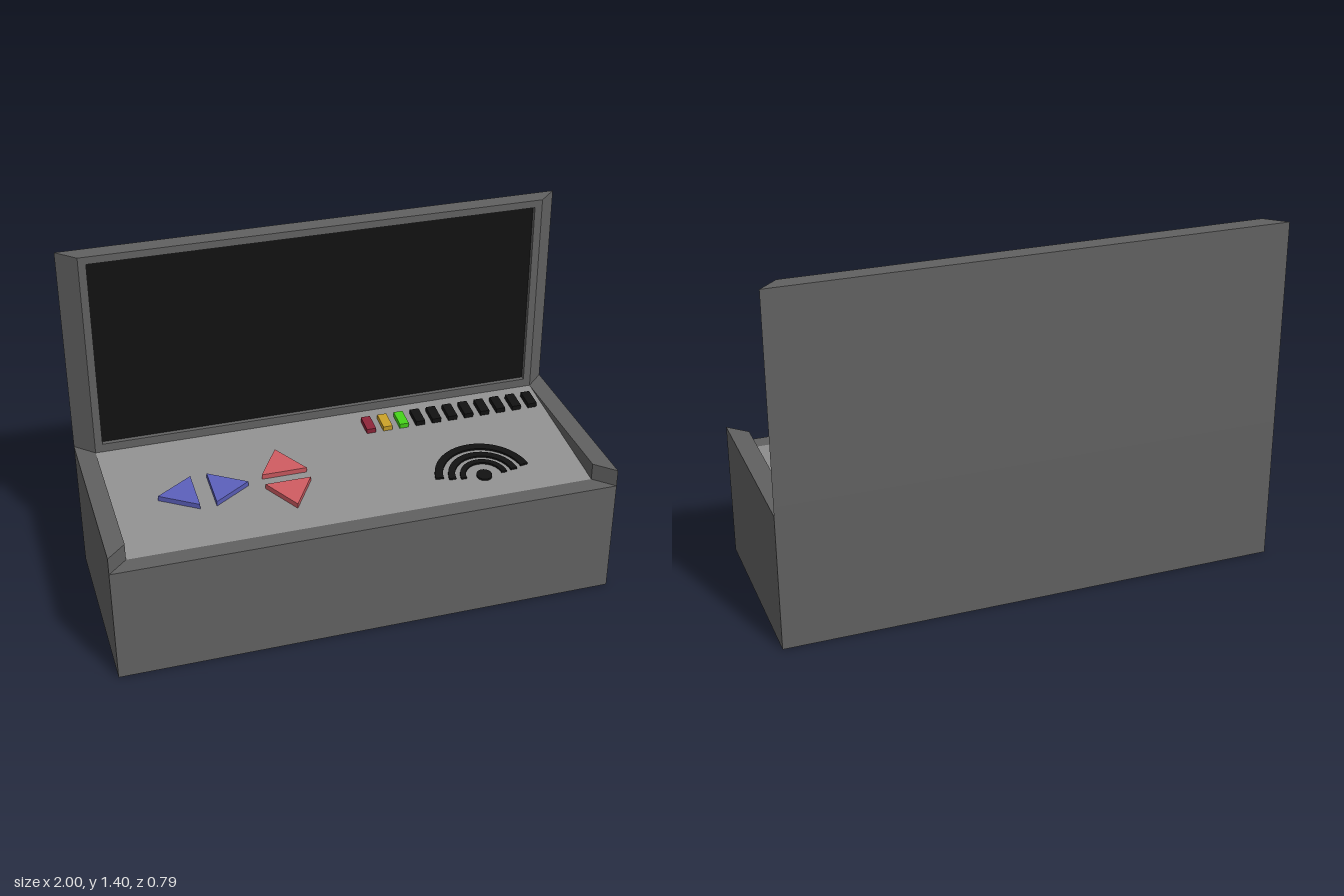
import * as THREE from 'three';

const mat = (color) => new THREE.MeshStandardMaterial({ color, flatShading: true });
const bodyMat = mat(0x606060), panelMat = mat(0x909090), blackMat = mat(0x111111);
const blueMat = mat(0x5a5eb8), redMat = mat(0xcc5a60);

// Main dimensions
const Z = 0.395, IN_Z = 0.322, IN_X = 0.925;
const LOW = 0.48, HIGH = 0.55, TOP = 1.4;
const SCREEN_X = 0.895, SCREEN_Z = -0.343, SCREEN_Y0 = 0.585, SCREEN_Y1 = 1.37;

// Extrudes a plan outline of [x, z] points upward from y0 to y1
function planGeometry(points, y0, y1) {
  const shape = new THREE.Shape(points.map(([x, z]) => new THREE.Vector2(x, -z)));
  const geo = new THREE.ExtrudeGeometry(shape, { depth: y1 - y0, bevelEnabled: false });
  return geo.rotateX(-Math.PI / 2).translate(0, y0, 0);
}

function add(parent, name, geo, material) {
  const mesh = new THREE.Mesh(geo, material);
  mesh.name = name;
  parent.add(mesh);
  return mesh;
}

function createBase(root) {
  const base = new THREE.Group();
  base.name = 'base';
  root.add(base);
  add(base, 'baseBox', new THREE.BoxGeometry(2, LOW, 2 * Z).translate(0, LOW / 2, 0), bodyMat);

  // Raised side lips with mitred ends
  for (const s of [1, -1]) {
    const lip = [[s, Z], [s * IN_X, IN_Z], [s * IN_X, -IN_Z], [s, -Z]];
    add(base, s > 0 ? 'leftLip' : 'rightLip', planGeometry(lip, LOW, HIGH), bodyMat);
  }

  // Sloping control panel, a wedge rising to the back
  const wedge = new THREE.Shape([
    new THREE.Vector2(-IN_Z, LOW), new THREE.Vector2(IN_Z, LOW), new THREE.Vector2(IN_Z, HIGH),
  ]);
  const wedgeGeo = new THREE.ExtrudeGeometry(wedge, { depth: 2 * IN_X, bevelEnabled: false });
  wedgeGeo.translate(0, 0, -IN_X).rotateY(Math.PI / 2);
  add(base, 'controlPanel', wedgeGeo, panelMat);
}

function createLid(root) {
  const lid = new THREE.Group();
  lid.name = 'lid';
  root.add(lid);

  // Back slab and the rails above and below the screen, with bevelled ends
  const midX = IN_X + (1 - IN_X) * (SCREEN_Z + IN_Z) / (IN_Z - Z);
  const slab = [[-1, -Z], [-midX, SCREEN_Z], [midX, SCREEN_Z], [1, -Z]];
  const rail = [[-1, -Z], [-IN_X, -IN_Z], [IN_X, -IN_Z], [1, -Z]];
  add(lid, 'backSlab', planGeometry(slab, SCREEN_Y0, SCREEN_Y1), bodyMat);
  add(lid, 'bottomRail', planGeometry(rail, LOW, SCREEN_Y0), bodyMat);
  add(lid, 'topRail', planGeometry(rail, SCREEN_Y1, TOP), bodyMat);

  // Frame sides in front of the slab
  for (const s of [1, -1]) {
    const stile = [[s * SCREEN_X, SCREEN_Z], [s * SCREEN_X, -IN_Z], [s * IN_X, -IN_Z], [s * midX, SCREEN_Z]];
    add(lid, s > 0 ? 'leftFrame' : 'rightFrame', planGeometry(stile, SCREEN_Y0, SCREEN_Y1), bodyMat);
  }

  // Recessed screen
  const screen = new THREE.PlaneGeometry(2 * SCREEN_X, SCREEN_Y1 - SCREEN_Y0);
  screen.translate(0, (SCREEN_Y0 + SCREEN_Y1) / 2, SCREEN_Z + 0.002);
  add(lid, 'screen', screen, blackMat);
}

function createControls(root) {
  // Everything in this group lies on the sloping panel
  const controls = new THREE.Group();
  controls.name = 'controls';
  controls.position.y = (LOW + HIGH) / 2;
  controls.rotation.x = Math.atan((HIGH - LOW) / (2 * IN_Z));
  root.add(controls);

  // Triangular arrow buttons
  const arrow = (name, points, material) => add(controls, name, planGeometry(points, -0.005, 0.022), material);
  arrow('rightArrow', [[-0.745, 0.025], [-0.6, -0.063], [-0.6, 0.113]], blueMat);
  arrow('leftArrow', [[-0.39, 0.025], [-0.535, -0.063], [-0.535, 0.113]], blueMat);
  arrow('upArrow', [[-0.24, -0.143], [-0.33, 0], [-0.148, 0]], redMat);
  arrow('downArrow', [[-0.24, 0.203], [-0.33, 0.058], [-0.148, 0.058]], redMat);

  // Row of indicator lights, the first three coloured
  const lit = [mat(0x8c2438), mat(0xc8a028), mat(0x44d018)];
  for (let i = 0; i < 11; i++) {
    const geo = new THREE.BoxGeometry(0.038, 0.025, 0.085);
    geo.translate(0.174 + 0.0702 * i, 0.008, -0.218);
    add(controls, 'indicatorLight', geo, lit[i] || blackMat);
  }

  // Speaker: a dot under three arcs
  const speaker = new THREE.Group();
  speaker.name = 'speaker';
  speaker.position.set(0.522, 0, 0.198);
  controls.add(speaker);
  add(speaker, 'speakerDot', new THREE.CylinderGeometry(0.031, 0.031, 0.016, 24), blackMat);
  for (const [outer, inner, start] of [[0.195, 0.163, 0.13], [0.142, 0.115, 0.06], [0.095, 0.073, 0]]) {
    const arc = new THREE.Shape();
    arc.absarc(0, 0, outer, start, Math.PI - start, false);
    arc.absarc(0, 0, inner, Math.PI - start, start, true);
    const geo = new THREE.ExtrudeGeometry(arc, { depth: 0.012, bevelEnabled: false, curveSegments: 24 });
    add(speaker, 'speakerArc', geo.rotateX(-Math.PI / 2).translate(0, -0.004, 0), blackMat);
  }
}

export function createModel() {
  const root = new THREE.Group();
  root.name = 'console';
  createBase(root);
  createLid(root);
  createControls(root);
  return root;
}
